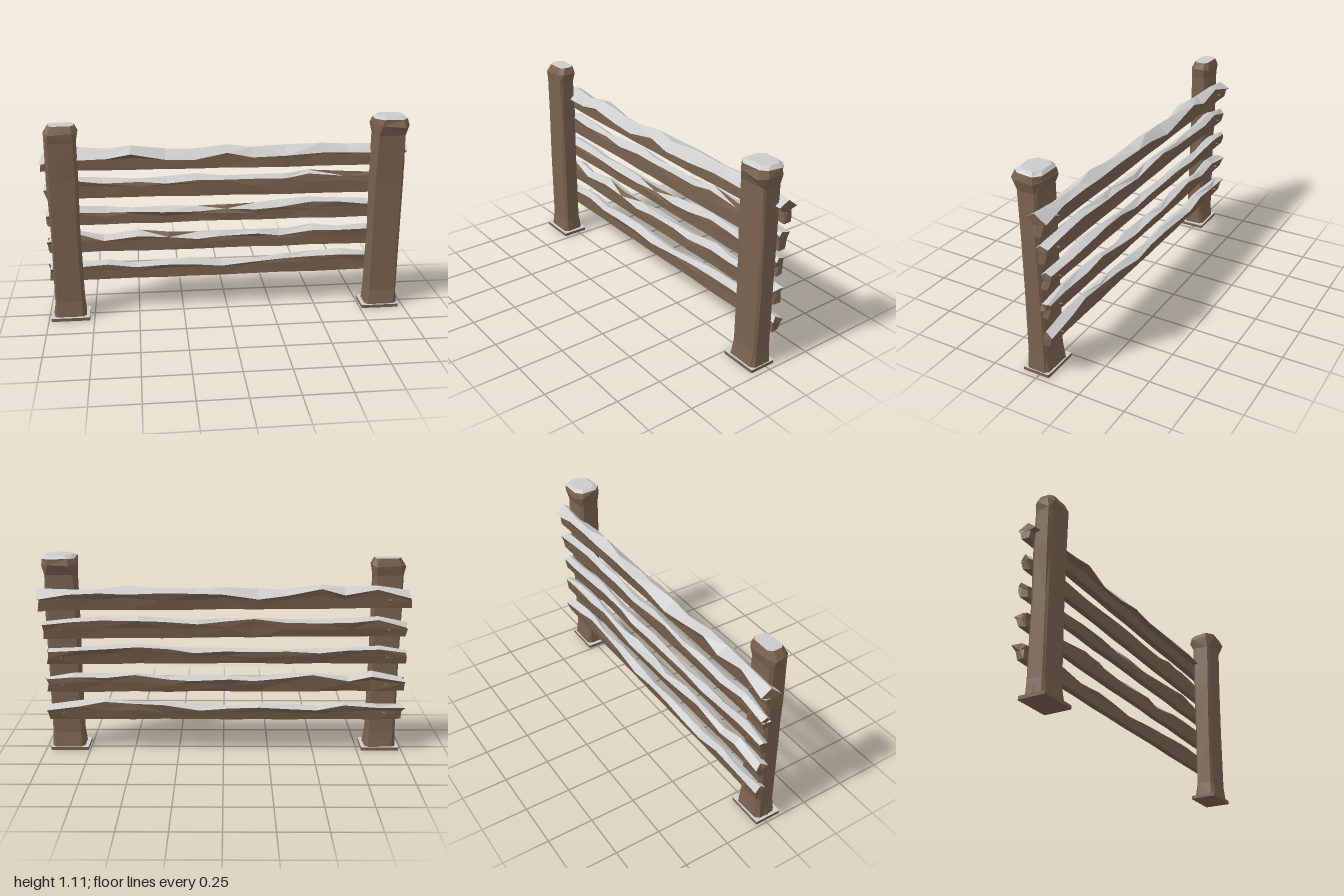
import * as THREE from 'three';

const wood = new THREE.MeshStandardMaterial({ color: 0x7a6350, flatShading: true });
const frost = new THREE.MeshStandardMaterial({ color: 0xcccccc, flatShading: true });

let seed = 7;
const jitter = (amount) => {
  seed = (seed * 16807) % 2147483647;
  return (seed / 2147483647 - 0.5) * 2 * amount;
};

// Skins closed rings, then sorts faces into bare wood and frosted upward faces
function loft(name, rings, frostLimit = 0.6) {
  const sides = { wood: [], frost: [] };
  const ab = new THREE.Vector3(), ac = new THREE.Vector3();
  const tri = (a, b, c) => {
    const n = ab.subVectors(b, a).cross(ac.subVectors(c, a)).normalize();
    const list = n.y > frostLimit ? sides.frost : sides.wood;
    for (const p of [a, b, c]) list.push(p.x, p.y, p.z);
  };
  const count = rings[0].length;
  for (let r = 0; r < rings.length - 1; r++) {
    for (let i = 0; i < count; i++) {
      const j = (i + 1) % count, A = rings[r], B = rings[r + 1];
      if ((r + i) % 2) { tri(A[i], A[j], B[j]); tri(A[i], B[j], B[i]); }
      else { tri(A[i], A[j], B[i]); tri(A[j], B[j], B[i]); }
    }
  }
  // End faces
  for (const [ring, last] of [[rings[0], false], [rings[rings.length - 1], true]]) {
    const mid = ring.reduce((s, p) => s.add(p), new THREE.Vector3()).divideScalar(count);
    for (let i = 0; i < count; i++) {
      const j = (i + 1) % count;
      if (last) tri(ring[i], ring[j], mid); else tri(ring[j], ring[i], mid);
    }
  }
  const group = new THREE.Group();
  group.name = name;
  for (const [key, material] of [['wood', wood], ['frost', frost]]) {
    if (!sides[key].length) continue;
    const g = new THREE.BufferGeometry();
    g.setAttribute('position', new THREE.Float32BufferAttribute(sides[key], 3));
    g.computeVertexNormals();
    const mesh = new THREE.Mesh(g, material);
    mesh.name = name + (key === 'wood' ? 'Wood' : 'Frost');
    group.add(mesh);
  }
  return group;
}

// Chamfered rectangle at height y
function postRing(y, x0, x1, z0, z1, cut, rough) {
  const c = cut;
  return [[x0 + c, z1], [x1 - c, z1], [x1, z1 - c], [x1, z0 + c],
    [x1 - c, z0], [x0 + c, z0], [x0, z0 + c], [x0, z1 - c]]
    .map(([x, z]) => new THREE.Vector3(x + jitter(rough), y + jitter(rough), z + jitter(rough)));
}

// Levels are [y, x0, x1, z0, z1, chamfer, roughness]
function makePost(name, levels, plate) {
  const group = new THREE.Group();
  group.name = name;
  group.add(loft(name + 'Shaft', levels.map((l) => postRing(...l))));
  const [x0, x1] = plate;
  group.add(loft(name + 'BasePlate', [0, 0.018].map((y) => postRing(y, x0, x1, -0.055, 0.095, 0.004, 0))));
  // Splintered chips around the foot
  const cx = (levels[2][1] + levels[2][2]) / 2;
  for (const [x, z, turn] of [[cx, 0.066, 0], [cx + 0.075, 0.02, 1], [cx, -0.03, 2], [cx - 0.075, 0.02, 3]]) {
    const chip = new THREE.Mesh(new THREE.ConeGeometry(0.035, 0.09, 4), wood);
    chip.name = 'footChip';
    chip.scale.z = 0.45;
    chip.position.set(x, 0.06, z);
    chip.rotation.y = turn * Math.PI / 2;
    group.add(chip);
  }
  return group;
}

// Plank along x: flat lower body with an uneven, weathered upper edge
function makeRail(name, { x0, x1, bottom, tops, front, back, lipFront, lipBack, drop }) {
  const n = tops.length - 1;
  const rings = tops.map((top, i) => {
    const end = i === 0 || i === n;
    const x = x0 + (x1 - x0) * i / n + (end ? 0 : jitter(0.025));
    const low = bottom[0] + (bottom[1] - bottom[0]) * i / n + jitter(0.003);
    const mid = low + (top - low) * 0.55;
    const skew = () => (end ? jitter(0.012) : 0);
    return [
      [top, (lipFront + lipBack) / 2 + jitter(0.015)],
      [top - drop + jitter(drop * 0.4), lipFront + jitter(0.008)],
      [mid + jitter(0.012), front + jitter(0.004)],
      [low, front],
      [low + 0.004, back + 0.012],
      [mid + jitter(0.012), back + jitter(0.004)],
      [top - drop * 0.7 + jitter(drop * 0.4), lipBack + jitter(0.008)],
    ].map(([y, z]) => new THREE.Vector3(x + skew(), y, z));
  });
  const rail = loft(name, rings, 0.5);
  // Wooden pegs on the back at each post
  for (const x of [-0.89, 0.88]) {
    const peg = new THREE.Mesh(new THREE.ConeGeometry(0.013, 0.025, 4), wood);
    peg.name = 'peg';
    peg.rotation.x = -Math.PI / 2;
    peg.position.set(x, (bottom[0] + tops[0]) / 2, back - 0.006);
    rail.add(peg);
  }
  return rail;
}

export function createModel() {
  seed = 7;
  const fence = new THREE.Group();
  fence.name = 'fence';

  fence.add(makePost('leftPost', [
    [0.015, 0.78, 0.965, -0.045, 0.085, 0.02, 0.003],
    [0.1, 0.79, 0.96, -0.035, 0.07, 0.012, 0.003],
    [0.45, 0.792, 0.962, -0.033, 0.068, 0.012, 0.003],
    [0.75, 0.79, 0.963, -0.032, 0.073, 0.012, 0.003],
    [1.0, 0.793, 0.963, -0.033, 0.078, 0.014, 0.004],
    [1.055, 0.785, 0.975, -0.06, 0.104, 0.035, 0.006],
    [1.09, 0.79, 0.968, -0.055, 0.092, 0.035, 0.005],
    [1.107, 0.81, 0.95, -0.042, 0.07, 0.03, 0.002],
  ], [0.76, 0.97]));

  fence.add(makePost('rightPost', [
    [0.015, -0.97, -0.795, -0.045, 0.08, 0.02, 0.003],
    [0.1, -0.963, -0.805, -0.035, 0.065, 0.012, 0.003],
    [0.5, -0.962, -0.808, -0.033, 0.063, 0.012, 0.003],
    [0.8, -0.966, -0.806, -0.033, 0.062, 0.012, 0.003],
    [1.0, -0.966, -0.805, -0.034, 0.062, 0.014, 0.004],
    [1.05, -0.97, -0.797, -0.042, 0.066, 0.022, 0.005],
    [1.092, -0.945, -0.808, -0.036, 0.05, 0.02, 0.002],
  ], [-0.985, -0.775]));

  // Four plain rails, lowest first
  const plain = { front: -0.032, back: -0.082, lipFront: -0.03, lipBack: -0.09, drop: 0.022 };
  [
    { x0: -0.99, x1: 0.965, bottom: [0.192, 0.188],
      tops: [0.28, 0.29, 0.295, 0.27, 0.285, 0.29, 0.272, 0.275, 0.295, 0.3, 0.312, 0.298, 0.275] },
    { x0: -0.985, x1: 0.965, bottom: [0.358, 0.35],
      tops: [0.44, 0.475, 0.445, 0.465, 0.455, 0.44, 0.445, 0.45, 0.442, 0.465, 0.455, 0.462, 0.44] },
    { x0: -0.985, x1: 0.955, bottom: [0.518, 0.512],
      tops: [0.595, 0.618, 0.608, 0.602, 0.6, 0.6, 0.603, 0.605, 0.615, 0.63, 0.622, 0.608, 0.6] },
    { x0: -0.985, x1: 0.965, bottom: [0.672, 0.655],
      tops: [0.75, 0.785, 0.775, 0.768, 0.77, 0.783, 0.77, 0.767, 0.772, 0.785, 0.778, 0.768, 0.75] },
  ].forEach((r, i) => fence.add(makeRail('rail' + (i + 1), { ...plain, ...r })));

  // Broader, lumpier top rail
  fence.add(makeRail('topRail', {
    x0: -0.995, x1: 0.992, bottom: [0.83, 0.81],
    tops: [0.925, 0.952, 0.942, 0.955, 0.932, 0.93, 0.943, 0.93, 0.935, 0.945, 0.93, 0.93, 0.932],
    front: -0.03, back: -0.085, lipFront: 0, lipBack: -0.1, drop: 0.045,
  }));

  return fence;
}
